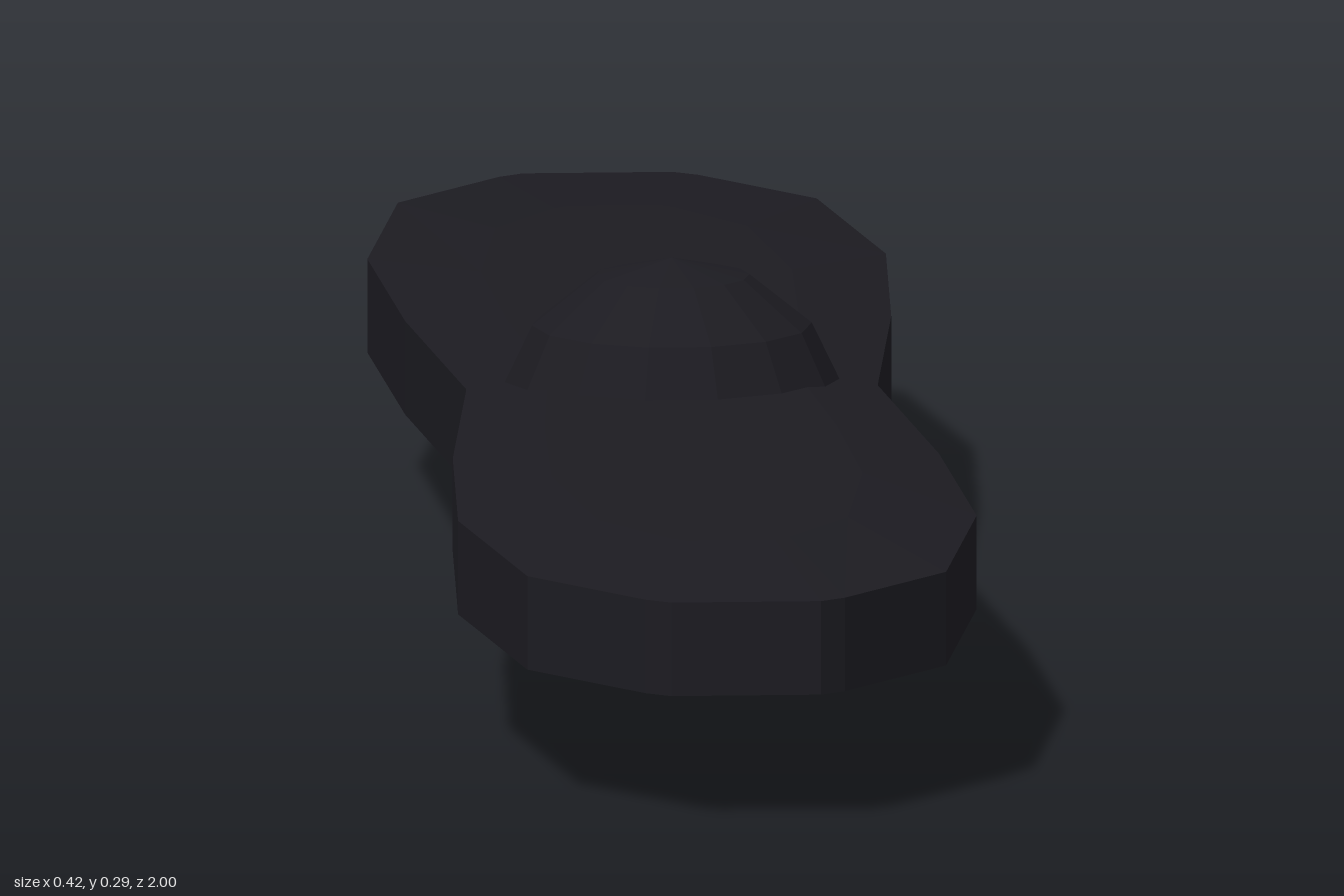
import * as THREE from 'three';

const MID = 0.144; // height of the centre plane

// Half outline (x, z) of one blade, from waist to tip
const BLADE = [[0.165, 0], [0.195, 0.32], [0.208, 0.61], [0.168, 0.87], [0.08, 0.985], [0.06, 1]];

// Closed plan outline, mirrored across both axes
function outline() {
  const back = BLADE.slice(1).reverse().map(([x, z]) => [x, -z]);
  const side = [...back, ...BLADE];
  return [...side, ...side.slice().reverse().map(([x, z]) => [-x, z])];
}

// Plate lofted from four rings: the rim is thinner than the raised middle
function plateGeometry() {
  const plan = outline();
  const n = plan.length;
  const rings = [[0.6, 0.78, -0.05], [1, 1, -0.038], [1, 1, 0.038], [0.6, 0.78, 0.05]];
  const positions = [];
  const index = [];
  for (const [sx, sz, y] of rings) {
    for (const [x, z] of plan) positions.push(x * sx, MID + y, z * sz);
  }
  const bottom = rings.length * n;
  const top = bottom + 1;
  positions.push(0, MID - 0.05, 0, 0, MID + 0.05, 0);
  for (let i = 0; i < n; i++) {
    const j = (i + 1) % n;
    for (let r = 0; r < rings.length - 1; r++) {
      const a = r * n + i, b = r * n + j, c = b + n, d = a + n;
      index.push(a, d, b, b, d, c);
    }
    index.push(bottom, i, j, top, 3 * n + j, 3 * n + i);
  }
  const geometry = new THREE.BufferGeometry();
  geometry.setAttribute('position', new THREE.Float32BufferAttribute(positions, 3));
  geometry.setIndex(index);
  const flat = geometry.toNonIndexed();
  flat.computeVertexNormals();
  return flat;
}

export function createModel() {
  const group = new THREE.Group();
  const material = new THREE.MeshStandardMaterial({ color: 0x1c1b21, flatShading: true });

  // Two-bladed plate
  const blades = new THREE.Mesh(plateGeometry(), material);
  blades.name = 'blades';
  group.add(blades);

  // Faceted ball through the middle
  const hub = new THREE.Mesh(new THREE.SphereGeometry(0.1435, 14, 7), material);
  hub.name = 'hub';
  hub.position.y = MID;
  group.add(hub);

  return group;
}
